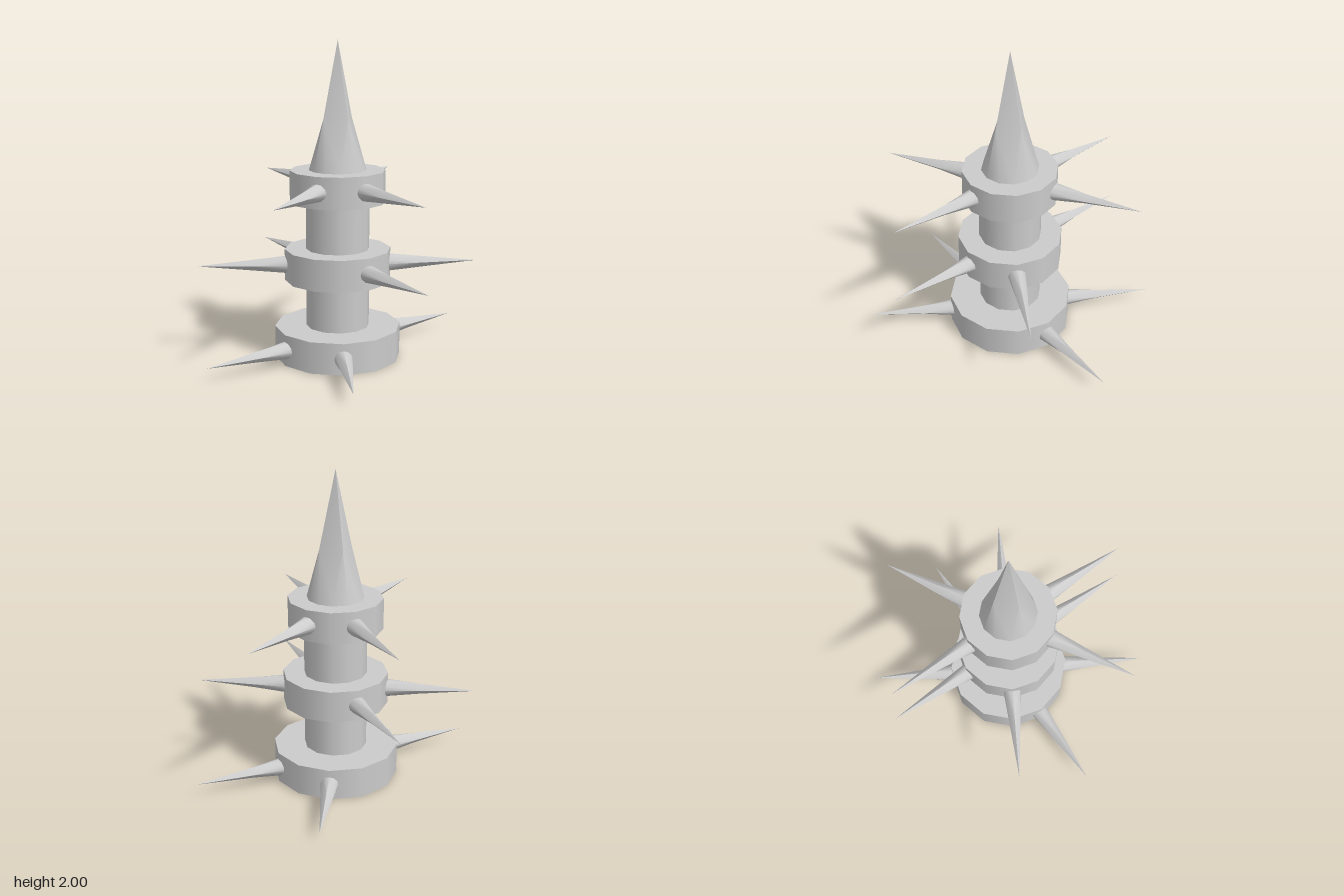
import * as THREE from 'three';
import { toCreasedNormals } from 'three/addons/utils/BufferGeometryUtils.js';

const SIDES = 12;
const CREASE = 0.62;
const material = new THREE.MeshStandardMaterial({ color: 0xcccccc });

// Spike along +y: a twelve-sided foot that tapers into a four-sided point
function spikeGeometry(radius, length) {
  const at = (step, r, y) => {
    const a = (step / SIDES) * Math.PI * 2;
    return [r * Math.sin(a), y, r * Math.cos(a)];
  };
  const share = 0.6; // part of the length taken by the four-sided point
  const apex = [0, length, 0];
  const positions = [];
  const tri = (...corners) => corners.forEach((c) => positions.push(...c));
  for (let s = 0; s < SIDES; s += 3) {
    const [b0, b1, b2, b3] = [0, 1, 2, 3].map((i) => at(s + i, radius, 0));
    const m0 = at(s, radius * share, length * (1 - share));
    const m1 = at(s + 3, radius * share, length * (1 - share));
    tri(m0, b0, b1);
    tri(m0, b1, b2);
    tri(m0, b2, m1);
    tri(m1, b2, b3);
    tri(apex, m0, m1);
  }
  const geometry = new THREE.BufferGeometry();
  geometry.setAttribute('position', new THREE.Float32BufferAttribute(positions, 3));
  return toCreasedNormals(geometry, CREASE);
}

function addMesh(parent, name, geometry) {
  const mesh = new THREE.Mesh(geometry, material);
  mesh.name = name;
  parent.add(mesh);
  return mesh;
}

function addDrum(parent, name, radius, bottom, top) {
  const geometry = new THREE.CylinderGeometry(radius, radius, top - bottom, SIDES);
  addMesh(parent, name, geometry).position.y = (bottom + top) / 2;
}

export function createModel() {
  const model = new THREE.Group();
  model.name = 'spikedPillar';

  // Central shaft and the large point on top
  addDrum(model, 'shaft', 0.2, 0.1, 1.1);
  addMesh(model, 'topSpike', spikeGeometry(0.18, 0.8)).position.y = 1.2;

  // Rings, each with two opposite pairs of side spikes (angles from +z towards +x)
  const sideSpike = spikeGeometry(0.06, 0.6).rotateX(Math.PI / 2);
  const rings = [
    { name: 'baseRing', radius: 0.4, bottom: 0, tip: 0.945, angles: [90, -30] },
    { name: 'middleRing', radius: 0.335, bottom: 0.5, tip: 0.885, angles: [0, 60] },
    { name: 'upperRing', radius: 0.3, bottom: 1, tip: 0.85, angles: [0, 120] },
  ];
  for (const { name, radius, bottom, tip, angles } of rings) {
    const group = new THREE.Group();
    group.name = name;
    model.add(group);
    addDrum(group, name + 'Drum', radius, bottom, bottom + 0.2);
    for (const angle of angles) {
      for (const turn of [0, 180]) {
        const a = THREE.MathUtils.degToRad(angle + turn);
        const spike = addMesh(group, 'sideSpike', sideSpike);
        spike.rotation.y = a;
        spike.position.set(Math.sin(a) * (tip - 0.6), bottom + 0.1, Math.cos(a) * (tip - 0.6));
      }
    }
  }
  return model;
}
